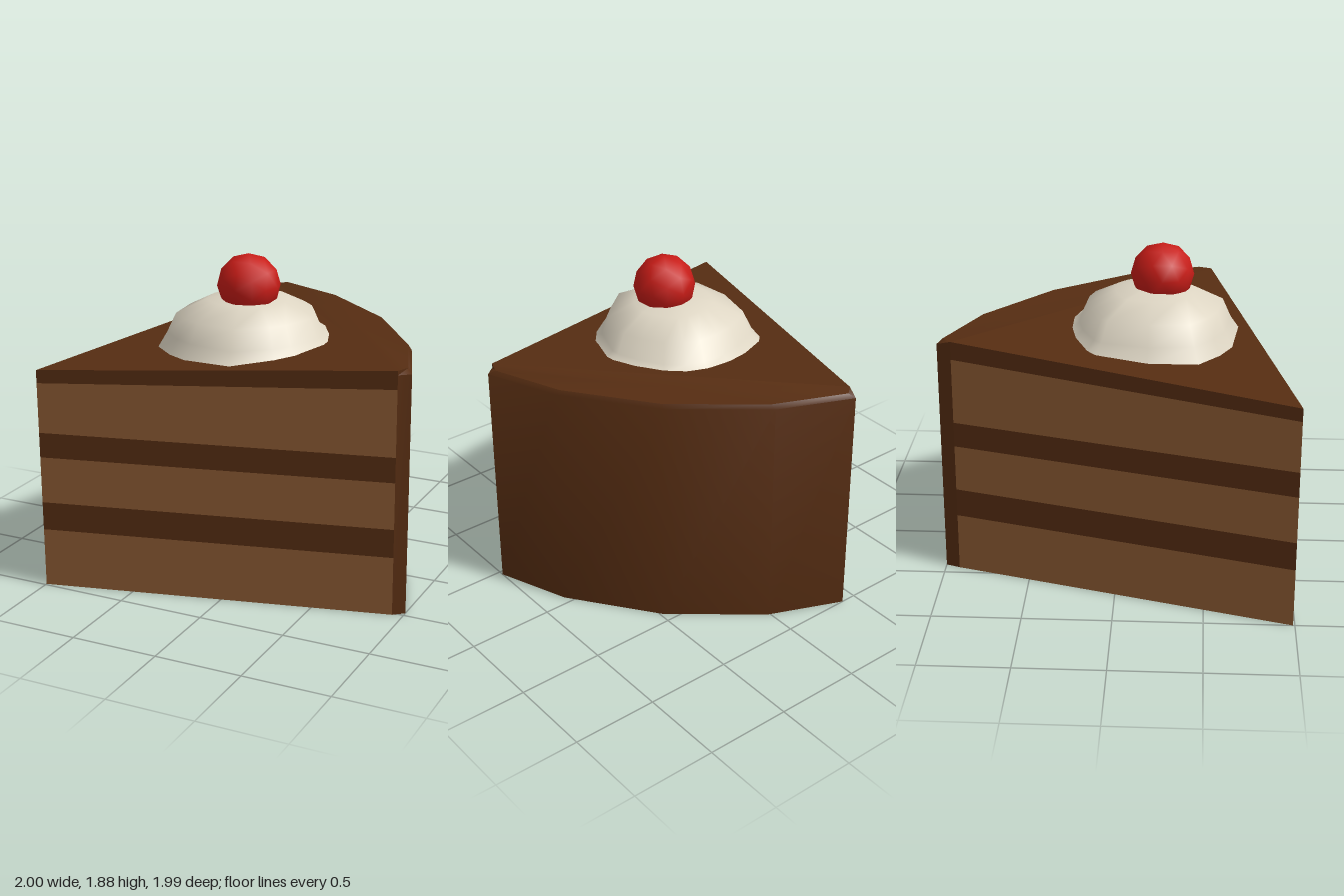
import * as THREE from 'three';
import { toCreasedNormals } from 'three/addons/utils/BufferGeometryUtils.js';

// Slice outline in [x, z], counterclockwise from above
const TIP = [-1, 0.99], RIGHT = [0.94, 0.52], BACK = [-0.44, -0.92];
const WEDGE = [TIP, RIGHT, BACK];
const RIND = [RIGHT, [1, 0.47], [0.84, 0.05], [0.48, -0.44], [0.01, -0.82], [-0.41, -1], BACK];
const CREAM = [
  [0.03, -0.28], [-0.13, -0.28], [-0.27, -0.25], [-0.45, -0.17], [-0.5, -0.12], [-0.57, 0.17],
  [-0.54, 0.45], [-0.4, 0.57], [-0.27, 0.64], [0.03, 0.68], [0.23, 0.52], [0.31, 0.42],
  [0.39, 0.2], [0.39, 0.14], [0.34, 0], [0.25, -0.15], [0.15, -0.24],
];

// Fraction of the way from the tip to the rind, and the sloping icing surface
const mid = [(RIGHT[0] + BACK[0]) / 2, (RIGHT[1] + BACK[1]) / 2];
const normal = new THREE.Vector2(-(BACK[1] - RIGHT[1]), BACK[0] - RIGHT[0]);
const reach = normal.x * (mid[0] - TIP[0]) + normal.y * (mid[1] - TIP[1]);
const along = (x, z) => (normal.x * (x - TIP[0]) + normal.y * (z - TIP[1])) / reach;
const slope = (a, b) => (x, z) => a + (b - a) * along(x, z);
const iceTop = slope(1.285, 1.405);

// Joins stacked rings of [x, y, z] points, closing the chosen ends with fans
function loft(rings, crease, capBottom = true, capTop = true) {
  const n = rings[0].length, pos = rings.flat(2), idx = [];
  for (let r = 0; r < rings.length - 1; r++) {
    for (let i = 0; i < n; i++) {
      const a = r * n + i, b = r * n + (i + 1) % n;
      idx.push(a, b, b + n, a, b + n, a + n);
    }
  }
  const cap = (r, up) => {
    const centre = pos.length / 3;
    for (let k = 0; k < 3; k++) pos.push(rings[r].reduce((s, p) => s + p[k], 0) / n);
    for (let i = 0; i < n; i++) {
      const a = r * n + i, b = r * n + (i + 1) % n;
      idx.push(centre, up ? a : b, up ? b : a);
    }
  };
  if (capBottom) cap(0, false);
  if (capTop) cap(rings.length - 1, true);
  const g = new THREE.BufferGeometry();
  g.setAttribute('position', new THREE.Float32BufferAttribute(pos, 3));
  g.setIndex(idx);
  return toCreasedNormals(g, crease);
}

const ring = (outline, y) => outline.map(([x, z]) => [x, typeof y === 'function' ? y(x, z) : y, z]);
const scaled = (outline, [cx, cz], s) => outline.map(([x, z]) => [cx + (x - cx) * s, cz + (z - cz) * s]);

export function createModel() {
  const group = new THREE.Group();
  const mat = (color) => new THREE.MeshStandardMaterial({ color });
  const sponge = mat(0x8b5a33), chocolate = mat(0x562d12), white = mat(0xddd5c3), red = mat(0xc81c17);
  const add = (name, geometry, material) => {
    const mesh = new THREE.Mesh(geometry, material);
    mesh.name = name;
    group.add(mesh);
    return mesh;
  };

  // Sponge and filling layers, topped by the sloping icing
  const levels = [0, 0.34, 0.505, 0.775, 0.92, slope(1.21, 1.3), iceTop];
  const names = ['bottomSponge', 'lowerFilling', 'middleSponge', 'upperFilling', 'topSponge', 'topIcing'];
  names.forEach((name, i) => {
    const g = loft([ring(WEDGE, levels[i]), ring(WEDGE, levels[i + 1])], 0.5, i === 0, i === 5);
    add(name, g, i % 2 ? chocolate : sponge);
  });

  // Curved icing at the back, with a softened upper rim
  const rim = RIND.map((p, i) =>
    i === 0 || i === RIND.length - 1 ? p : [p[0] + (mid[0] - p[0]) * 0.04, p[1] + (mid[1] - p[1]) * 0.04]);
  add('backIcing', loft([ring(RIND, 0), ring(RIND, 1.38), ring(rim, 1.405)], 0.9), chocolate);

  // Whipped cream dome, its base following the icing
  const c = [-0.08, 0.2];
  const creamRings = [
    ring(CREAM, (x, z) => iceTop(x, z) - 0.01),
    ...[[0.89, 1.42], [0.79, 1.53], [0.47, 1.61], [0.2, 1.633]].map(([s, y]) => ring(scaled(CREAM, c, s), y)),
  ];
  add('whippedCream', loft(creamRings, 1.2, false, true), white);

  // Cherry
  add('cherry', new THREE.IcosahedronGeometry(0.178, 1), red).position.set(-0.065, 1.697, 0.237);

  return group;
}
